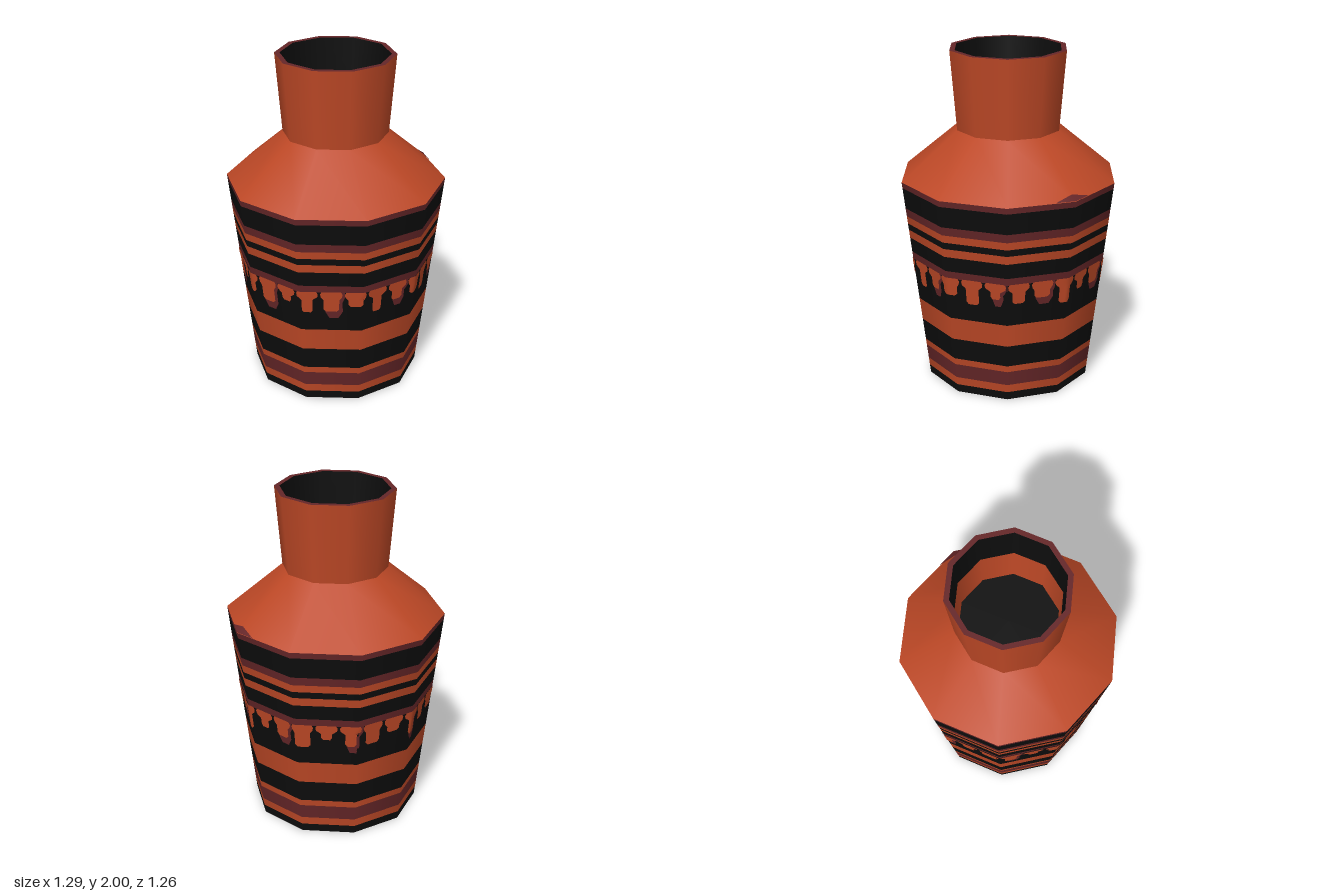
import * as THREE from 'three';

const SIDES = 10;
const START = THREE.MathUtils.degToRad(94.35);
const STEP = (Math.PI * 2) / SIDES;
const Y_SHOULDER = 1.245;

const paint = (name, color) => {
  const m = new THREE.MeshStandardMaterial({ color, side: THREE.DoubleSide });
  m.name = name;
  return m;
};

// Body wall radius at a height
const wall = (y) => 0.5 + (0.647 - 0.5) * (y / Y_SHOULDER);

// Point on the ten-sided wall: u runs 0..10 around, lift moves it outwards
function onWall(u, y, lift) {
  const k = Math.floor(u), t = u - k, r = wall(y) + lift;
  const a = START + k * STEP, b = a + STEP;
  return [
    r * THREE.MathUtils.lerp(Math.sin(a), Math.sin(b), t), y,
    r * THREE.MathUtils.lerp(Math.cos(a), Math.cos(b), t),
  ];
}

// Thin painted tongue, built from rows of [half width, height]
function dripGeometry(u, rows, lift) {
  const cols = 6, pos = [], idx = [];
  for (const [w, y] of rows) {
    for (let i = 0; i <= cols; i++) pos.push(...onWall(u + w * ((2 * i) / cols - 1), y, lift));
  }
  for (let r = 0; r < rows.length - 1; r++) {
    for (let i = 0; i < cols; i++) {
      const a = r * (cols + 1) + i, b = a + cols + 1; // row b lies below row a
      idx.push(a, b, a + 1, a + 1, b, b + 1);
    }
  }
  const g = new THREE.BufferGeometry();
  g.setAttribute('position', new THREE.Float32BufferAttribute(pos, 3));
  g.setIndex(idx);
  g.computeVertexNormals();
  return g;
}

export function createModel() {
  const vase = new THREE.Group();
  vase.name = 'vase';
  const clay = paint('terracotta', 0xbd4826);
  const maroon = paint('maroon', 0x652628);
  const black = paint('black', 0x0d0d0d);

  const add = (name, geometry, material, parent = vase) => {
    const mesh = new THREE.Mesh(geometry, material);
    mesh.name = name;
    parent.add(mesh);
  };
  const ring = (name, r0, y0, r1, y1, material, parent) => add(name,
    new THREE.LatheGeometry([new THREE.Vector2(r0, y0), new THREE.Vector2(r1, y1)], SIDES, START),
    material, parent);

  // Striped body: each band as [top height, colour]
  const body = new THREE.Group();
  body.name = 'body';
  vase.add(body);
  const bands = [
    [0.05, black], [0.1, clay], [0.19, maroon], [0.23, clay], [0.365, black],
    [0.505, clay], [0.765, black], [0.81, maroon], [0.9, black], [0.95, clay],
    [0.99, black], [1.035, clay], [1.085, maroon], [1.21, black], [Y_SHOULDER, maroon],
  ];
  let y = 0;
  bands.forEach(([top, material], i) => {
    ring(`bodyBand${i + 1}`, wall(y), y, wall(top), top, material, body);
    y = top;
  });

  // Shoulder, neck, flat lip and inside of the neck
  ring('shoulder', 0.647, Y_SHOULDER, 0.31, 1.53, clay);
  ring('neck', 0.31, 1.53, 0.349, 2, clay);
  ring('lip', 0.349, 2, 0.318, 2, maroon);
  ring('innerNeckUpper', 0.318, 2, 0.302, 1.78, black);
  ring('innerNeckLower', 0.302, 1.78, 0.288, 1.53, clay);
  ring('neckFloor', 0.288, 1.53, 0, 1.53, black);

  // Row of painted drips, some with a longer maroon run behind
  const drips = new THREE.Group();
  drips.name = 'drips';
  vase.add(drips);
  const count = 26;
  for (let i = 0; i < count; i++) {
    const u = ((i + 0.5) * SIDES) / count;
    const end = 0.645 + 0.03 * Math.sin(i * 2.3);
    const w = 0.105 + 0.025 * Math.sin(i * 1.7);
    add('drip', dripGeometry(u, [
      [0.15, 0.77], [0.175, 0.755], [0.165, 0.735], [w, 0.715], [w, end + 0.015], [w * 0.65, end],
    ], 0.004), clay, drips);
    if (i % 3 === 1) {
      add('dripShadow', dripGeometry(u + 0.04, [
        [0.17, 0.77], [0.17, 0.73], [w * 1.1, 0.7], [w * 1.15, end], [w * 0.6, end - 0.045],
      ], 0.002), maroon, drips);
    }
  }

  // Maroon smudge on one corner of the shoulder
  const smudge = new THREE.BufferGeometry();
  smudge.setAttribute('position', new THREE.Float32BufferAttribute([
    0.39, 1.249, -0.485, 0.495, 1.249, -0.42, 0.54, 1.249, -0.31, 0.465, 1.277, -0.394,
  ], 3));
  smudge.setIndex([0, 3, 1, 1, 3, 2]);
  smudge.computeVertexNormals();
  add('shoulderSmudge', smudge, maroon);

  return vase;
}
